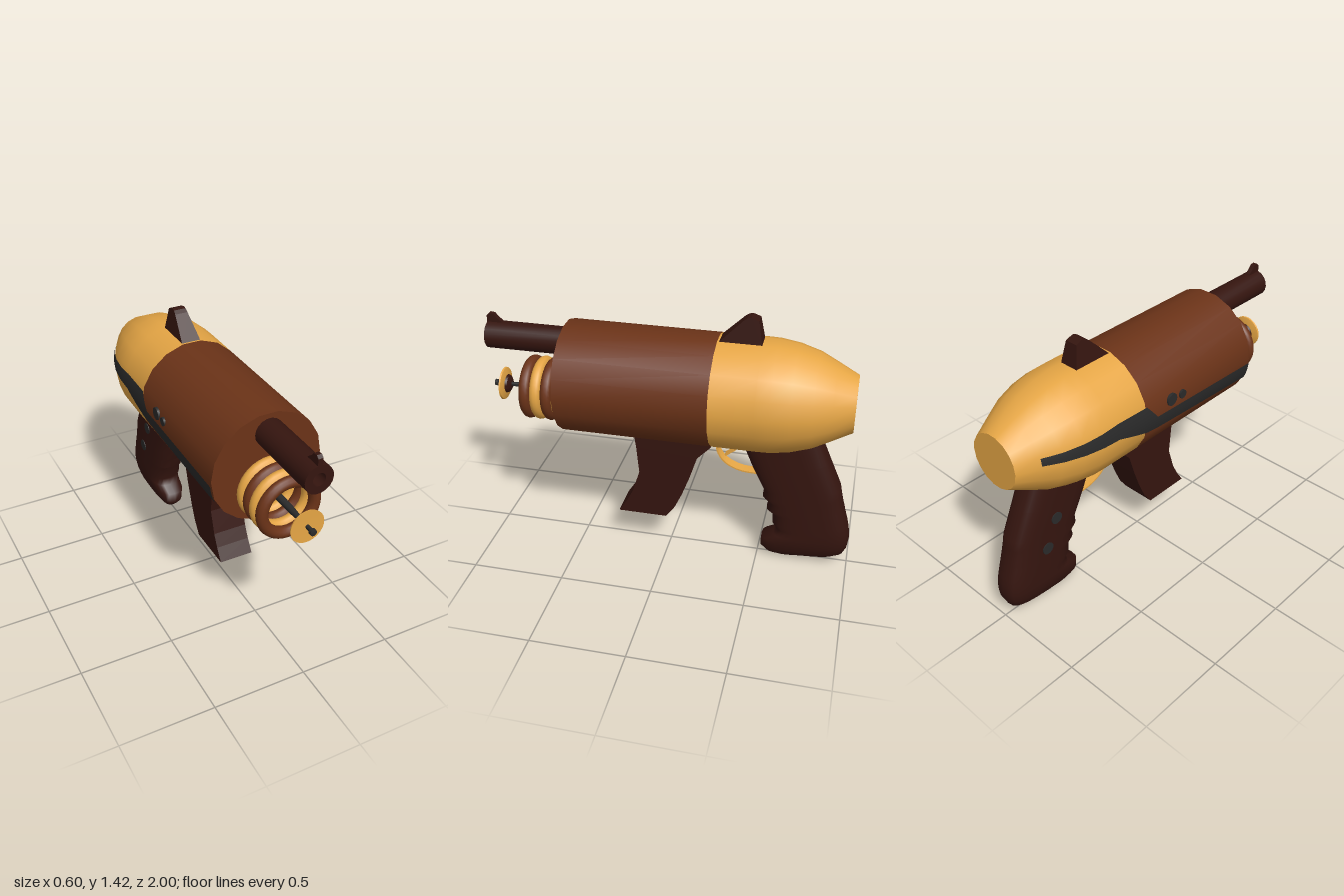
import * as THREE from 'three';
import { toCreasedNormals } from 'three/addons/utils/BufferGeometryUtils.js';

const mat = (color, side = THREE.FrontSide) => new THREE.MeshStandardMaterial({ color, side });
const GOLD = mat(0xe6a645), BROWN = mat(0x6b3318), DARK = mat(0x35150f), STEEL = mat(0x2a2a2a);
const GOLD_THIN = mat(0xe6a645, THREE.DoubleSide), STEEL_THIN = mat(0x2a2a2a, THREE.DoubleSide);
const AXIS_Y = 0.99, RING_Y = 0.89;

export function createModel() {
  const model = new THREE.Group();
  const add = (name, geometry, material, x = 0, y = 0, z = 0) => {
    const mesh = new THREE.Mesh(geometry, material);
    mesh.name = name;
    mesh.position.set(x, y, z);
    model.add(mesh);
    return mesh;
  };

  // Turned part along z; profile is [radius, z] from back to front
  const turned = (profile, sides) => {
    const g = new THREE.LatheGeometry(profile.map(p => new THREE.Vector2(...p)), sides, Math.PI / sides);
    return toCreasedNormals(g.rotateX(Math.PI / 2), 0.6);
  };

  // Side outline of [z, y] points, extruded across x
  const slab = (points, width) => {
    const shape = new THREE.Shape(points.map(([z, y]) => new THREE.Vector2(-z, y)));
    const g = new THREE.ExtrudeGeometry(shape, { depth: width, bevelEnabled: false });
    return g.translate(0, 0, -width / 2).rotateY(Math.PI / 2);
  };

  // Thin curved strip following [z, y] points
  const strip = (points, width, thick) => {
    const pts = new THREE.CatmullRomCurve3(points.map(([z, y]) => new THREE.Vector3(0, y, z))).getPoints(20);
    const tangent = i => pts[Math.min(i + 1, 20)].clone().sub(pts[Math.max(i - 1, 0)]).normalize();
    const edge = s => pts.map((p, i) => {
      const t = tangent(i);
      return [p.z - t.y * s * thick / 2, p.y + t.z * s * thick / 2];
    });
    return slab([...edge(1), ...edge(-1).reverse()], width);
  };

  // Main body and tapered rear shell
  add('body', turned([[0, -0.245], [0.3, -0.245], [0.3, 0.565], [0, 0.565]], 18), BROWN, 0, AXIS_Y);
  const shell = [[0.148, -0.96], [0.205, -0.85], [0.25, -0.76], [0.283, -0.65], [0.298, -0.55], [0.3, -0.48], [0.3, -0.245]];
  add('rearShell', turned([[0, -0.96], ...shell, [0, -0.245]], 18), GOLD, 0, AXIS_Y);

  // Rear sight: wedge that narrows toward the top
  const sight = slab([[-0.24, 1.27], [-0.37, 1.4], [-0.39, 1.415], [-0.41, 1.42], [-0.45, 1.405], [-0.475, 1.27]], 0.11);
  const sp = sight.attributes.position;
  for (let i = 0; i < sp.count; i++) sp.setX(i, sp.getX(i) * (1 - 0.4 * (sp.getY(i) - 1.27) / 0.15));
  sight.computeVertexNormals();
  add('rearSight', sight, DARK);

  // Upper barrel with a bore, and its front sight
  add('barrel', turned([[0.034, 0.56], [0.075, 0.56], [0.075, 1], [0.034, 1], [0.034, 0.56]], 18), DARK, 0.005, 1.185);
  add('frontSight', slab([[1, 1.25], [1, 1.295], [0.985, 1.308], [0.96, 1.305], [0.945, 1.285], [0.92, 1.265], [0.91, 1.25]], 0.026), DARK, 0.005);

  // Emitter coils
  for (let i = 0; i < 4; i++) {
    add('coil', new THREE.TorusGeometry(0.143, 0.031, 12, 36), i % 2 ? BROWN : GOLD, 0, RING_Y, 0.595 + i * 0.06);
  }

  // Emitter rod, hub, dish and tip
  add('emitterRod', turned([[0, 0.56], [0.022, 0.56], [0.018, 0.8], [0.011, 0.9], [0.011, 0.975], [0.018, 0.98], [0.018, 0.995], [0, 1]], 12), STEEL, 0, RING_Y);
  add('dishHub', turned([[0, 0.9], [0.03, 0.903], [0.046, 0.913], [0.052, 0.928], [0, 0.928]], 20), DARK, 0, RING_Y);
  add('dish', turned([[0, 0.922], [0.06, 0.926], [0.088, 0.935], [0.09, 0.943], [0, 0.941]], 24), GOLD, 0, RING_Y);

  // Fore grip
  add('foreGrip', slab([[0.19, 0.74], [0.175, 0.64], [0.16, 0.48], [0.2, 0.35], [0.235, 0.28], [0.28, 0.21],
    [0.01, 0.21], [-0.04, 0.28], [-0.08, 0.37], [-0.12, 0.48], [-0.16, 0.61], [-0.235, 0.69], [-0.235, 0.74]], 0.19), DARK);

  // Rear grip: rounded sections [front z, front y, back z, back y, half width] from top to bottom
  const rows = [
    [-0.36, 0.78, -0.77, 0.85, 0.095], [-0.45, 0.57, -0.86, 0.64, 0.095], [-0.52, 0.43, -0.93, 0.48, 0.095],
    [-0.515, 0.385, -0.94, 0.43, 0.095], [-0.55, 0.355, -0.95, 0.385, 0.095], [-0.54, 0.31, -0.96, 0.35, 0.095],
    [-0.575, 0.285, -0.97, 0.31, 0.095], [-0.575, 0.225, -0.985, 0.26, 0.095], [-0.6, 0.19, -0.995, 0.215, 0.095],
    [-0.585, 0.15, -1, 0.165, 0.094], [-0.52, 0.12, -0.995, 0.115, 0.09], [-0.515, 0.06, -0.975, 0.07, 0.076],
    [-0.55, 0.02, -0.93, 0.042, 0.052], [-0.61, 0, -0.88, 0.03, 0.03],
  ];
  const N = 24, pos = [], idx = [];
  const soft = v => Math.sign(v) * Math.abs(v) ** 0.65;
  rows.forEach(([zf, yf, zb, yb, w], i) => {
    for (let j = 0; j < N; j++) {
      const t = j / N * Math.PI * 2, c = soft(Math.cos(t)) / 2;
      pos.push(w * soft(Math.sin(t)), (yf + yb) / 2 + c * (yf - yb), (zf + zb) / 2 + c * (zf - zb));
      const a = i * N + j, b = i * N + (j + 1) % N;
      if (i < rows.length - 1) idx.push(a, a + N, b, b, a + N, b + N);
      else idx.push(rows.length * N, b, a);
    }
  });
  pos.push(0, 0.015, -0.745);
  const grip = new THREE.BufferGeometry();
  grip.setAttribute('position', new THREE.Float32BufferAttribute(pos, 3));
  grip.setIndex(idx);
  grip.computeVertexNormals();
  add('rearGrip', grip, DARK);

  // Trigger and guard
  add('triggerGuard', strip([[-0.25, 0.7], [-0.26, 0.63], [-0.3, 0.57], [-0.38, 0.53], [-0.5, 0.52]], 0.06, 0.008), GOLD_THIN);
  add('trigger', strip([[-0.39, 0.71], [-0.36, 0.655], [-0.3, 0.605]], 0.04, 0.008), GOLD_THIN);

  // Inlay on the right side, wrapped on the hull: stations [z, bottom y, top y]
  const radiusAt = z => {
    const k = shell.findIndex(p => p[1] >= z);
    if (k < 1) return 0.3;
    const [[r0, z0], [r1, z1]] = [shell[k - 1], shell[k]];
    return r0 + (r1 - r0) * (z - z0) / (z1 - z0);
  };
  const stations = [[-0.85, 1.01, 1.05], [-0.44, 0.99, 1.075], [-0.24, 0.92, 1.07], [-0.17, 0.91, 0.985], [0.563, 0.865, 0.965]];
  const inlay = new THREE.PlaneGeometry(1, 1, 32, 6), ip = inlay.attributes.position;
  for (let i = 0; i < ip.count; i++) {
    const f = (ip.getX(i) + 0.5) * 4, k = Math.min(3, Math.floor(f)), v = ip.getY(i) + 0.5;
    const [z, lo, hi] = stations[k].map((s, n) => s + (stations[k + 1][n] - s) * (f - k));
    const y = lo + (hi - lo) * v, r = radiusAt(z) + 0.004;
    ip.setXYZ(i, -Math.sqrt(r * r - (y - AXIS_Y) ** 2), y, z);
  }
  inlay.computeVertexNormals();
  add('sideInlay', inlay, STEEL_THIN);

  // Round studs on the right side: [x, y, z, radius]
  for (const [x, y, z, r] of [[-0.295, 1.03, -0.06, 0.034], [-0.295, 1.025, 0.02, 0.024], [-0.092, 0.53, -0.69, 0.034], [-0.092, 0.37, -0.76, 0.034]]) {
    add('stud', new THREE.CylinderGeometry(r, r, 0.014, 16).rotateZ(Math.PI / 2), STEEL, x, y, z);
  }
  return model;
}
